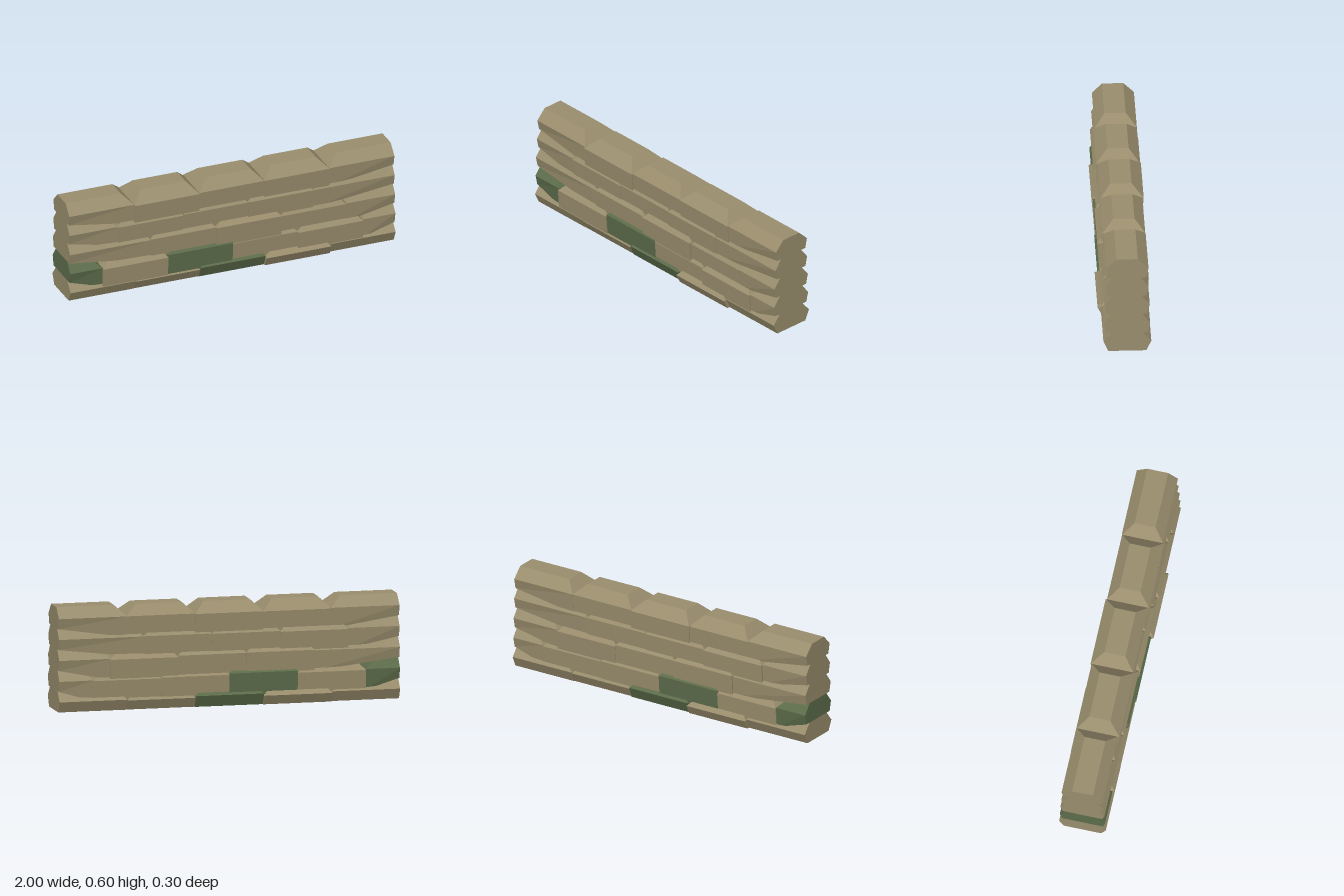
import * as THREE from 'three';

const COURSE = 0.12;  // course height
const HALF = 0.06;    // height of the shoulder above each course line

// Each course: joints along x, tuck (how far the foot is drawn in), top half depth,
// and per stone [front depth, back depth, shoulder shift].
const courses = [
  { joints: [-1, -0.6, -0.2, 0.2, 0.6, 1], tuck: 0.028, top: 0.088, mossy: [2],
    stones: [[0.136, 0.136, 0], [0.134, 0.152, -0.006], [0.138, 0.142, 0.006], [0.152, 0.134, -0.004], [0.135, 0.138, 0.002]] },
  { joints: [-1, -0.8, -0.4, 0, 0.4, 0.8, 1], tuck: 0.01, top: 0.086, mossy: [0, 2],
    stones: [[0.132, 0.132, 0], [0.144, 0.137, -0.004], [0.138, 0.138, 0.008], [0.133, 0.134, 0], [0.142, 0.132, -0.004], [0.133, 0.131, 0]] },
  { joints: [-1, -0.5, -0.1, 0.3, 0.7, 1], tuck: 0.01, top: 0.084, mossy: [],
    stones: [[0.129, 0.129, 0], [0.133, 0.138, 0.005], [0.141, 0.133, 0.003], [0.128, 0.136, -0.005], [0.129, 0.129, 0]] },
  { joints: [-1, -0.7, -0.3, 0.1, 0.5, 1], tuck: 0.01, top: 0.078, mossy: [],
    stones: [[0.122, 0.123, 0], [0.125, 0.133, -0.004], [0.122, 0.128, 0], [0.126, 0.126, 0.002], [0.122, 0.123, 0]] },
  { joints: [-1, -0.6, -0.2, 0.2, 0.6, 1], tuck: 0.01, top: 0.061, mossy: [],
    stones: [[0.118, 0.122, 0], [0.128, 0.122, -0.004], [0.12, 0.128, -0.002], [0.125, 0.12, 0], [0.118, 0.122, 0]] },
];

// Faceted stone from three stacked rings: foot, shoulder and inset top
function stoneGeometry(x0, x1, y, front, back, shift, tuck, top) {
  const leftEnd = x0 <= -1, rightEnd = x1 >= 1, ground = y === 0;
  const foot = (isEnd) => (isEnd || ground ? y : y - HALF);
  const endTuck = (isEnd) => (isEnd && !ground ? tuck + 0.003 : tuck);
  const inset = 0.063;
  const shoulder = y + HALF + shift;
  const a = x0 + (leftEnd ? 0 : inset), b = x1 - (rightEnd ? 0 : inset);
  const tA = endTuck(leftEnd), tB = endTuck(rightEnd);
  const rings = [
    [[x0, foot(leftEnd), front - tA], [x1, foot(rightEnd), front - tB],
      [x1, foot(rightEnd), -back + tB], [x0, foot(leftEnd), -back + tA]],
    [[x0, shoulder, front], [x1, shoulder, front], [x1, shoulder, -back], [x0, shoulder, -back]],
    [[a, y + COURSE, top], [b, y + COURSE, top], [b, y + COURSE, -top], [a, y + COURSE, -top]],
  ];
  const pos = [];
  const quad = (p, q, r, s) => pos.push(...p, ...q, ...r, ...p, ...r, ...s);
  for (let k = 0; k < 2; k++) {
    for (let i = 0; i < 4; i++) {
      const j = (i + 1) % 4;
      quad(rings[k][i], rings[k][j], rings[k + 1][j], rings[k + 1][i]);
    }
  }
  quad(...rings[2]);
  quad(...[...rings[0]].reverse());
  const g = new THREE.BufferGeometry();
  g.setAttribute('position', new THREE.Float32BufferAttribute(pos, 3));
  g.computeVertexNormals();
  return g;
}

export function createModel() {
  const stoneMat = new THREE.MeshStandardMaterial({ color: 0x998d6d });
  stoneMat.name = 'sandstone';
  const mossMat = new THREE.MeshStandardMaterial({ color: 0x5c6c4a });
  mossMat.name = 'mossyStone';

  const wall = new THREE.Group();
  wall.name = 'stoneWall';
  courses.forEach((c, row) => {
    const course = new THREE.Group();
    course.name = `course${row + 1}`;
    c.stones.forEach(([front, back, shift], i) => {
      const mossy = c.mossy.includes(i);
      const geo = stoneGeometry(c.joints[i], c.joints[i + 1], row * COURSE, front, back, shift, c.tuck, c.top);
      const mesh = new THREE.Mesh(geo, mossy ? mossMat : stoneMat);
      mesh.name = mossy ? 'mossyStone' : 'stone';
      course.add(mesh);
    });
    wall.add(course);
  });
  return wall;
}
